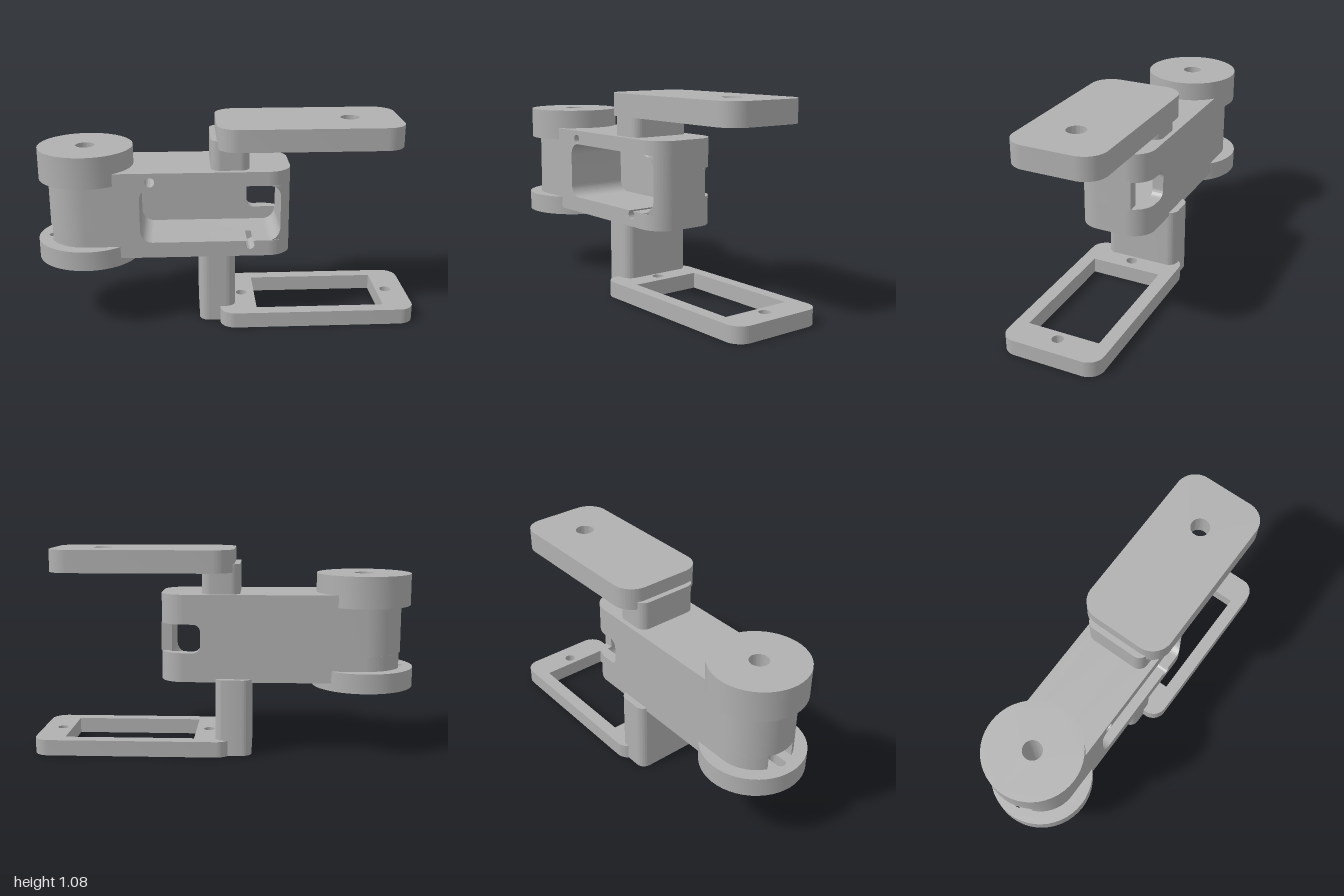
import * as THREE from 'three';
import { toCreasedNormals } from 'three/addons/utils/BufferGeometryUtils.js';

const PI = Math.PI;

export function createModel() {
  const group = new THREE.Group();
  const grey = new THREE.MeshStandardMaterial({ color: 0xb0b0b0 });
  grey.name = 'plain grey';

  const add = (name, geo) => {
    const mesh = new THREE.Mesh(toCreasedNormals(geo, 0.5), grey);
    mesh.name = name;
    group.add(mesh);
    return mesh;
  };
  const extrude = (shape, depth) =>
    new THREE.ExtrudeGeometry(shape, { depth, bevelEnabled: false, curveSegments: 24 });
  // plan outline (x, -z) raised from y0 to y1
  const raise = (name, shape, y0, y1) =>
    add(name, extrude(shape, y1 - y0).rotateX(-PI / 2).translate(0, y0, 0));
  // side outline (x, y) pushed from z0 to z1
  const push = (name, shape, z0, z1) =>
    add(name, extrude(shape, z1 - z0).translate(0, 0, z0));

  const circle = (x, y, r) => new THREE.Path().absarc(x, y, r, 0, PI * 2, false);
  const roundRect = (x0, x1, y0, y1, r) => new THREE.Shape()
    .absarc(x1 - r, y0 + r, r, -PI / 2, 0, false)
    .absarc(x1 - r, y1 - r, r, 0, PI / 2, false)
    .absarc(x0 + r, y1 - r, r, PI / 2, PI, false)
    .absarc(x0 + r, y0 + r, r, PI, PI * 1.5, false);
  const poly = (pts) => new THREE.Shape(pts.map(([x, y]) => new THREE.Vector2(x, y)));

  // Round end discs on the pivot axis
  const px = -0.735, bore = 0.05;
  const topDisc = new THREE.Shape().absarc(px, 0, 0.248, 0, PI * 2, false);
  topDisc.holes.push(circle(px, 0, bore));
  raise('topDisc', topDisc, 0.78, 0.945);

  const bottomDisc = new THREE.Shape().absarc(px, 0, 0.267, 0, PI * 2, false);
  bottomDisc.holes.push(circle(px, 0, bore));
  for (const s of [-1, 1]) {
    const c = px + s * 0.165;
    bottomDisc.holes.push(roundRect(c - 0.05, c + 0.05, -0.025, 0.025, 0.024));
  }
  raise('bottomDisc', bottomDisc, 0.347, 0.45);

  // Rounded hub of the body between the discs, notched at the bottom
  const hub = (notched) => {
    const s = new THREE.Shape().moveTo(-0.6, -0.2).lineTo(-0.6, 0.2).lineTo(px, 0.2);
    if (notched) {
      const b = Math.asin(0.4);
      s.absarc(px, 0, 0.2, PI / 2, PI - b, false);
      s.lineTo(-0.86, 0.08).lineTo(-0.86, -0.08);
      s.absarc(px, 0, 0.2, PI + b, PI * 1.5, false);
    } else s.absarc(px, 0, 0.2, PI / 2, PI * 1.5, false);
    s.holes.push(circle(px, 0, bore));
    return s;
  };
  raise('hubLower', hub(true), 0.45, 0.53);
  raise('hubUpper', hub(false), 0.53, 0.78);

  // Body walls around the front pocket, with two screw holes near the front
  const y0 = 0.387, y1 = 0.845, w0 = 0.47, w1 = 0.77, xe = 0.21, xw = 0.275;
  const floor = -0.14, r = 0.065;
  const frame = (screws) => {
    const s = new THREE.Shape().moveTo(-0.6, y0).lineTo(xe, y0).lineTo(xe, w0);
    if (screws) s.lineTo(0.13, w0).absarc(0.115, w0 - 0.02, 0.025, 0.9273, 2.2143, true);
    s.absarc(-0.455 + r, w0 + r, r, -PI / 2, -PI, true);
    s.absarc(-0.455 + r, w1 - r, r, PI, PI / 2, true);
    s.lineTo(xe, w1).lineTo(xe, y1).lineTo(-0.6, y1);
    if (screws) s.holes.push(circle(-0.4, 0.797, 0.025));
    return s;
  };
  push('bodyFrameFront', frame(true), 0.05, 0.2);
  push('bodyFrameRear', frame(false), floor, 0.05);

  // Back wall with the cable slot
  const slot0 = 0.54, slot1 = 0.69;
  const back = new THREE.Shape().moveTo(-0.6, y0).lineTo(xe, y0).lineTo(xe, slot0)
    .absarc(0.16, slot0 + 0.04, 0.04, -PI / 2, -PI, true)
    .absarc(0.16, slot1 - 0.04, 0.04, PI, PI / 2, true)
    .lineTo(xe, slot1).lineTo(xe, y1).lineTo(-0.6, y1);
  push('bodyBackWall', back, -0.2, floor);

  // Rounded right end, in layers: solid, pocket, pocket with slot
  const R = 0.12, a = Math.acos((xw - xe) / R);
  const endSolid = new THREE.Shape().moveTo(xe, -0.2)
    .absarc(xe, -0.08, R, -PI / 2, 0, false)
    .absarc(xe, 0.08, R, 0, PI / 2, false);
  const endPocket = new THREE.Shape()
    .absarc(xe, -0.08, R, -a, 0, false)
    .absarc(xe, 0.08, R, 0, PI / 2, false)
    .lineTo(xe, -floor).lineTo(xw, -floor);
  const endSlot = new THREE.Shape()
    .absarc(xe, -0.08, R, -a, 0, false)
    .lineTo(0.33, 0.115).lineTo(xw, 0.115);
  raise('bodyEndBottom', endSolid, y0, w0);
  raise('bodyEndLowerWall', endPocket, w0, slot0);
  raise('bodyEndSlotWall', endSlot, slot0, slot1);
  raise('bodyEndUpperWall', endPocket, slot1, w1);
  raise('bodyEndTop', endSolid, w1, y1);

  // Fillets in the pocket's right corners, front edge following the rounded end
  for (const s of [-1, 1]) {
    const yc = s > 0 ? w1 : w0;
    const f = new THREE.Shape().moveTo(xw, yc).lineTo(xe, yc)
      .absarc(xe, yc - s * r, r, s * PI / 2, 0, s > 0);
    const geo = extrude(f, 0.2 - floor).translate(0, 0, floor);
    const p = geo.attributes.position;
    for (let i = 0; i < p.count; i++) {
      if (p.getZ(i) > 0) {
        const dx = Math.max(0, p.getX(i) - xe);
        p.setZ(i, 0.08 + Math.sqrt(R * R - dx * dx));
      }
    }
    add('pocketFillet', geo);
  }

  // Upper post and plate
  raise('upperPost', roundRect(-0.085, 0.115, -0.17, 0.175, 0.05), 0.83, 1.0);
  const topPlate = roundRect(-0.055, 0.91, -0.24, 0.24, 0.11);
  topPlate.holes.push(circle(0.65, 0, bore));
  raise('topPlate', topPlate, 0.957, 1.075);

  // Lower post and open frame plate
  raise('lowerPost', roundRect(-0.148, 0.042, -0.17, 0.235, 0.05), 0.002, 0.405);
  const basePlate = roundRect(-0.04, 1.0, -0.265, 0.265, 0.08);
  basePlate.holes.push(poly([[0.155, -0.195], [0.84, -0.195], [0.84, 0.195], [0.155, 0.195]]));
  for (const x of [0.085, 0.895]) basePlate.holes.push(circle(x, 0, 0.03));
  raise('basePlate', basePlate, 0, 0.083);

  return group;
}
